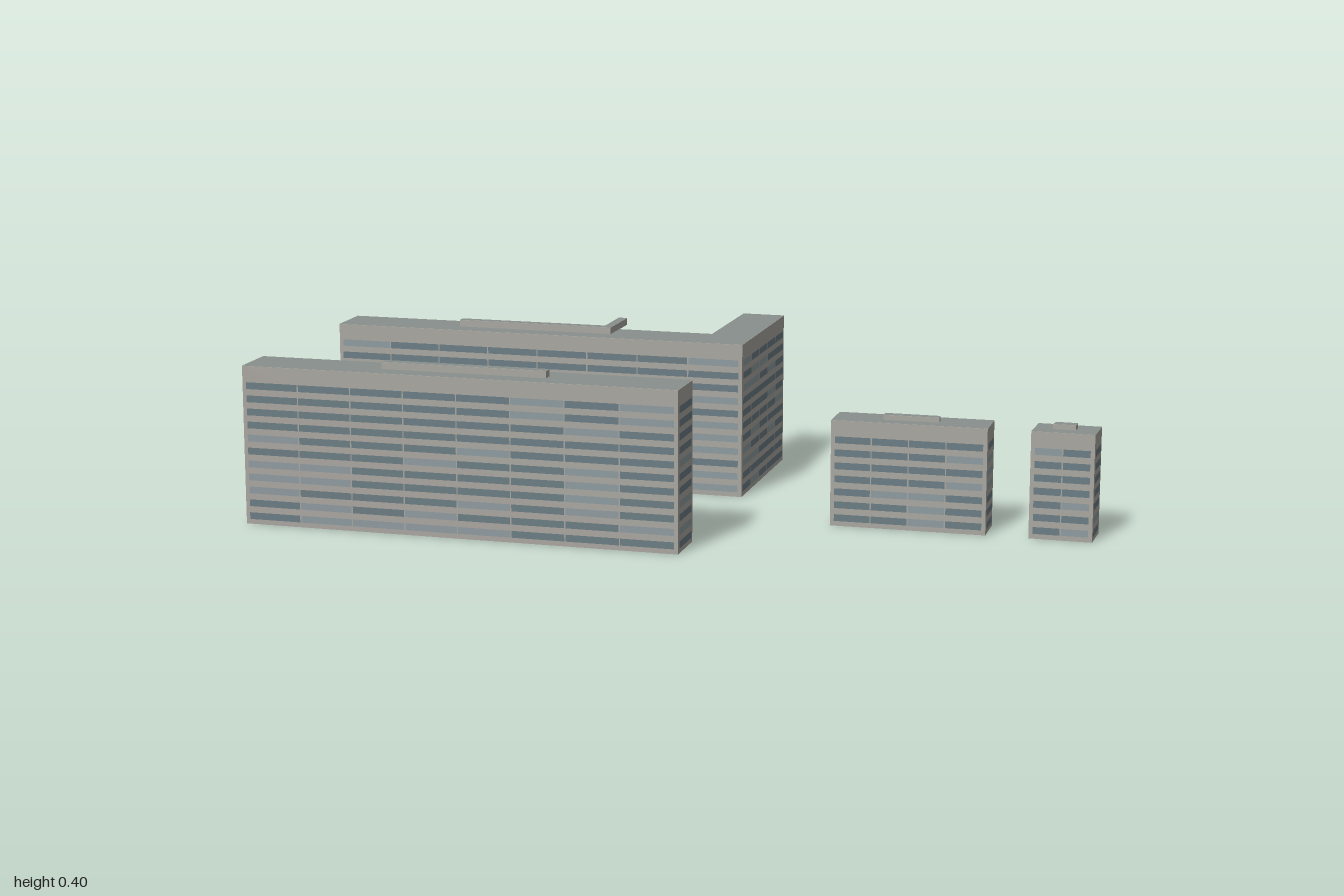
import * as THREE from 'three';
import { mergeGeometries } from 'three/addons/utils/BufferGeometryUtils.js';

const paint = (color) => new THREE.MeshStandardMaterial({ color, flatShading: true });
const wallPaint = paint(0xaaa7a0);
const roofPaint = paint(0x88908c);
const glassPaints = [paint(0x6b7d84), paint(0x8e9ba0)];

// Storey spacing shared by all facades
const PITCH = 0.0316, FIRST = 0.02, WINDOW_H = 0.0165;

let seed = 7;
const rand = () => (seed = (seed * 16807) % 2147483647) / 2147483647;

// Footprints are [x, z] corners, clockwise as seen from above
const toShape = (pts) => new THREE.Shape(pts.map(([x, z]) => new THREE.Vector2(x, -z)));

function block(name, pts, y0, y1) {
  const group = new THREE.Group();
  group.name = name;
  const shape = toShape(pts);
  const body = new THREE.ExtrudeGeometry(shape, { depth: y1 - y0, bevelEnabled: false });
  body.rotateX(-Math.PI / 2).translate(0, y0, 0);
  const walls = new THREE.Mesh(body, wallPaint);
  walls.name = 'walls';
  const top = new THREE.ShapeGeometry(shape);
  top.rotateX(-Math.PI / 2).translate(0, y1 + 0.0006, 0);
  const roof = new THREE.Mesh(top, roofPaint);
  roof.name = 'roof';
  group.add(walls, roof);
  return group;
}

// Rows of window panels on every side of a footprint
function windows(pts, rows) {
  const panes = [[], []];
  const margin = 0.008, gap = 0.003;
  pts.forEach(([ax, az], i) => {
    const [bx, bz] = pts[(i + 1) % pts.length];
    const len = Math.hypot(bx - ax, bz - az);
    const dx = (bx - ax) / len, dz = (bz - az) / len;
    const bays = Math.max(1, Math.round(len / (len > 0.5 ? 0.133 : 0.085)));
    const bay = (len - 2 * margin) / bays;
    for (let r = 0; r < rows; r++) {
      for (let b = 0; b < bays; b++) {
        const t = margin + (b + 0.5) * bay;
        const pane = new THREE.PlaneGeometry(bay - gap, WINDOW_H);
        pane.rotateY(Math.atan2(dz, -dx));
        pane.translate(ax + dx * t + dz * 0.0008, FIRST + r * PITCH, az + dz * t - dx * 0.0008);
        panes[rand() < 0.25 ? 1 : 0].push(pane);
      }
    }
  });
  const group = new THREE.Group();
  group.name = 'windows';
  panes.forEach((list, k) => {
    if (!list.length) return;
    const mesh = new THREE.Mesh(mergeGeometries(list), glassPaints[k]);
    mesh.name = k ? 'paleWindows' : 'darkWindows';
    group.add(mesh);
  });
  return group;
}

const buildings = [
  {
    name: 'frontSlab', height: 0.383, top: 0.4, rows: 11,
    plan: [[-0.955, 0.015], [0.04, 0.4], [-0.005, 0.515], [-1, 0.13]],
    plant: [[-0.662, 0.18], [-0.285, 0.326], [-0.294, 0.349], [-0.672, 0.203]],
  },
  {
    name: 'angledBlock', height: 0.383, top: 0.4, rows: 11,
    plan: [[-0.735, -0.52], [0.15, -0.175], [0.265, -0.46], [0.365, -0.42], [0.207, -0.02], [-0.78, -0.405]],
    plant: [[-0.467, -0.36], [-0.114, -0.224], [-0.071, -0.334], [-0.051, -0.326], [-0.103, -0.195], [-0.475, -0.34]],
  },
  {
    name: 'smallBlock', height: 0.256, top: 0.268, rows: 7,
    plan: [[0.417, 0.19], [0.765, 0.32], [0.73, 0.41], [0.382, 0.28]],
    plant: [[0.513, 0.268], [0.637, 0.315], [0.63, 0.335], [0.505, 0.288]],
  },
  {
    name: 'endTower', height: 0.256, top: 0.268, rows: 7,
    plan: [[0.862, 0.36], [1, 0.414], [0.963, 0.5], [0.825, 0.445]],
    plant: [[0.893, 0.405], [0.94, 0.424], [0.93, 0.447], [0.88, 0.428]],
  },
];

export function createModel() {
  seed = 7;
  const model = new THREE.Group();
  model.name = 'buildingComplex';
  for (const { name, height, top, rows, plan, plant } of buildings) {
    const building = block(name, plan, 0, height);
    building.add(windows(plan, rows), block('rooftopPlant', plant, height, top));
    model.add(building);
  }
  return model;
}
